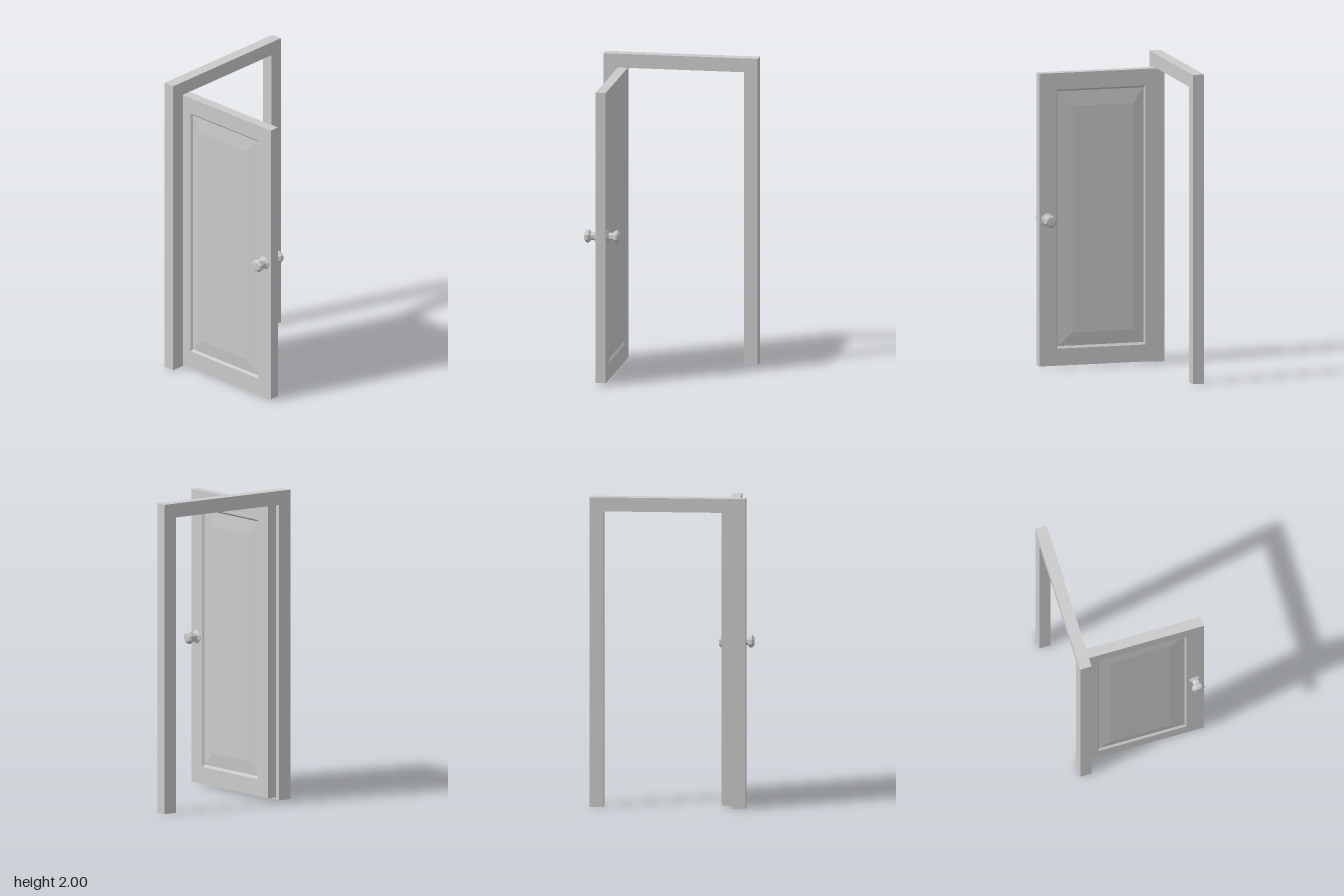
import * as THREE from 'three';

const material = new THREE.MeshStandardMaterial({ color: 0xcccccc, flatShading: true });

function part(name, geometry) {
  const mesh = new THREE.Mesh(geometry, material);
  mesh.name = name;
  return mesh;
}

// Closed solid through rectangles in the zy plane, each [x, z0, z1, y0, y1], stacked along x
function loftRectangles(rects) {
  const rings = rects.map(([x, z0, z1, y0, y1]) => [[x, y0, z0], [x, y0, z1], [x, y1, z1], [x, y1, z0]]);
  const positions = [];
  const quad = (a, b, c, d) => positions.push(...a, ...b, ...c, ...a, ...c, ...d);
  for (let i = 0; i < rings.length - 1; i++) {
    for (let k = 0; k < 4; k++) {
      const n = (k + 1) % 4;
      quad(rings[i][k], rings[i + 1][k], rings[i + 1][n], rings[i][n]);
    }
  }
  const [a, b, c, d] = rings[0];
  quad(a, b, c, d);
  const [e, f, g, h] = rings[rings.length - 1];
  quad(h, g, f, e);
  const geometry = new THREE.BufferGeometry();
  geometry.setAttribute('position', new THREE.Float32BufferAttribute(positions, 3));
  geometry.computeVertexNormals();
  return geometry;
}

export function createModel() {
  const model = new THREE.Group();
  model.name = 'openDoor';

  // Door frame: two posts and a header in one outline
  const outline = new THREE.Shape(
    [[-0.5, 0], [-0.41, 0], [-0.41, 1.91], [0.41, 1.91], [0.41, 0], [0.5, 0], [0.5, 2], [-0.5, 2]]
      .map(([x, y]) => new THREE.Vector2(x, y)));
  const frameGeometry = new THREE.ExtrudeGeometry(outline, { depth: 0.075, bevelEnabled: false });
  frameGeometry.translate(0, 0, -0.425);
  model.add(part('doorFrame', frameGeometry));

  // Door leaf, swung open, with a sunken bevel and a raised field on both faces
  const door = new THREE.Group();
  door.name = 'door';
  const centreX = -0.3775, half = 0.0325;
  const face = [ // [distance from mid-plane, z0, z1, y0, y1], from the field outwards
    [half - 0.004, -0.2, 0.2, 0.225, 1.69],
    [half - 0.012, -0.27, 0.3, 0.14, 1.788],
    [half, -0.28, 0.31, 0.125, 1.8],
    [half, -0.393, 0.425, 0.015, 1.908],
  ];
  const place = (side) => ([d, ...rect]) => [centreX + side * d, ...rect];
  door.add(part('doorLeaf', loftRectangles([...face.map(place(-1)), ...[...face].reverse().map(place(1))])));

  // Knobs with a tapered rose, neck and faceted grip, one per face
  const profile = [[0, -0.005], [0.045, -0.005], [0.045, 0.001], [0.027, 0.013], [0.026, 0.04],
    [0.033, 0.042], [0.042, 0.052], [0.042, 0.068], [0.028, 0.08], [0, 0.081]]
    .map(([r, h]) => new THREE.Vector2(r, h));
  for (const side of [-1, 1]) {
    const knob = part(side < 0 ? 'rightKnob' : 'leftKnob', new THREE.LatheGeometry(profile, 8, Math.PI / 10));
    knob.rotation.z = -side * Math.PI / 2;
    knob.position.set(centreX + side * half, 0.96, 0.37);
    door.add(knob);
  }
  model.add(door);
  return model;
}
